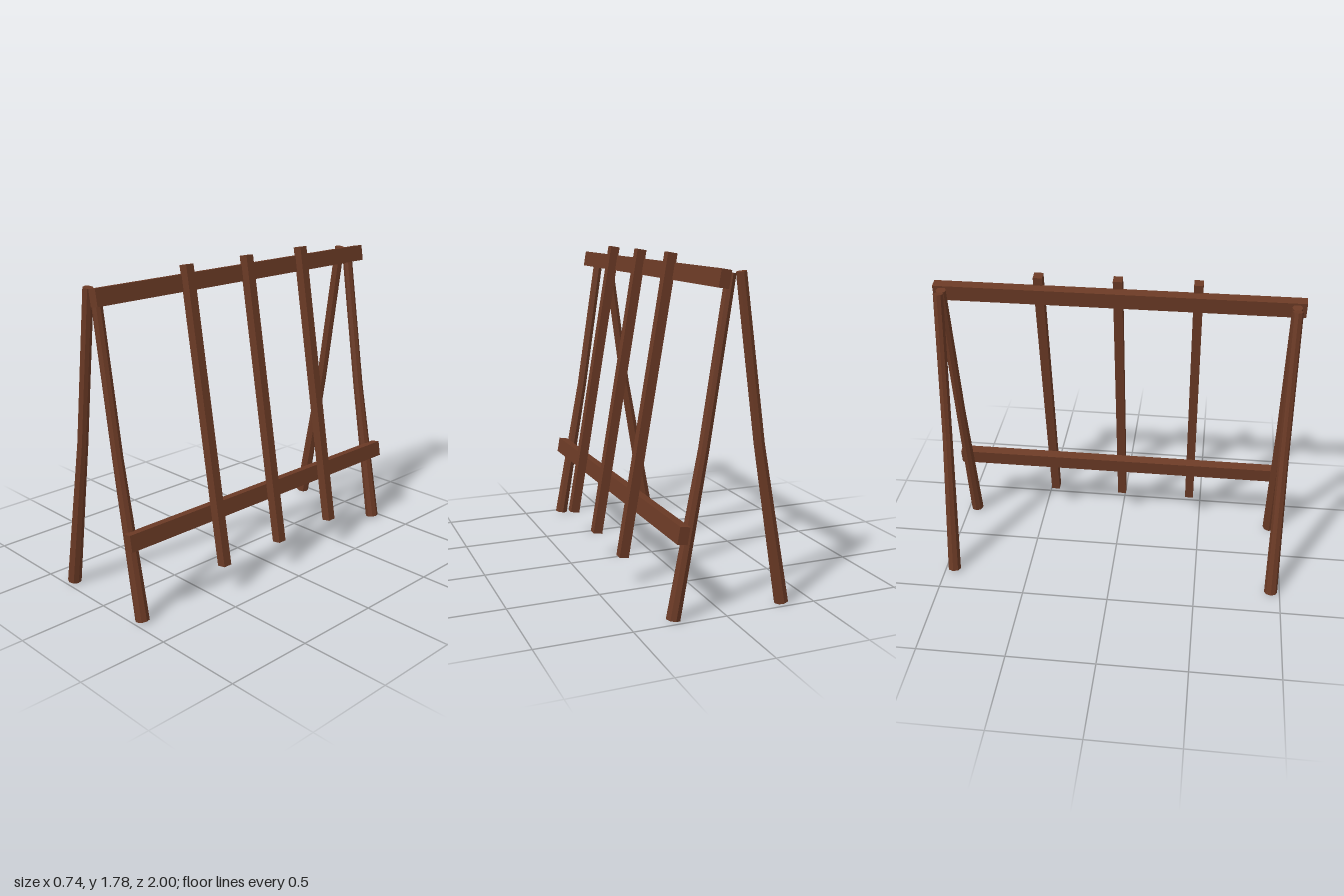
import * as THREE from 'three';

const wood = new THREE.MeshStandardMaterial({ color: 0x6b3a25, flatShading: true });
const TILT = 0.17; // lean of the rack, in radians

// Slightly bent, tapered round pole; stations run from foot to top: [x, y, radius]
function pole(name, stations, lean, z) {
  const geo = new THREE.CylinderGeometry(1, 1, 2, 8, 2);
  const pos = geo.attributes.position;
  for (let i = 0; i < pos.count; i++) {
    const [cx, cy, r] = stations[Math.round(pos.getY(i)) + 1];
    const x = pos.getX(i) * r;
    pos.setXYZ(i, cx + x * Math.cos(lean), cy + x * Math.sin(lean), pos.getZ(i) * r);
  }
  geo.computeVertexNormals();
  const mesh = new THREE.Mesh(geo, wood);
  mesh.name = name;
  mesh.position.z = z;
  return mesh;
}

// Squared timber leaning with the rack
function beam(name, size, x, y, z) {
  const mesh = new THREE.Mesh(new THREE.BoxGeometry(...size), wood);
  mesh.name = name;
  mesh.position.set(x, y, z);
  mesh.rotation.z = TILT;
  return mesh;
}

export function createModel() {
  const group = new THREE.Group();
  group.name = 'woodenRack';

  // A-shaped pair of legs at each end
  for (const [end, z] of [['front', 0.948], ['back', -0.948]]) {
    group.add(pole(end + 'RightLeg',
      [[-0.336, 0.007, 0.038], [-0.188, 0.86, 0.029], [-0.073, 1.705, 0.028]], -0.155, z));
    group.add(pole(end + 'LeftLeg',
      [[0.27, 0.007, 0.038], [0.113, 0.86, 0.029], [-0.018, 1.7, 0.028]], 0.165, z));
  }

  // Long rails joining the two ends
  group.add(beam('topRail', [0.055, 0.09, 2], 0.036, 1.675, 0));
  group.add(beam('lowerRail', [0.055, 0.09, 2], 0.238, 0.45, 0));

  // Leaning slats
  for (const z of [-0.43, 0, 0.43]) {
    group.add(beam('slat', [0.053, 1.632, 0.05], 0.205, 0.97, z));
  }
  return group;
}
